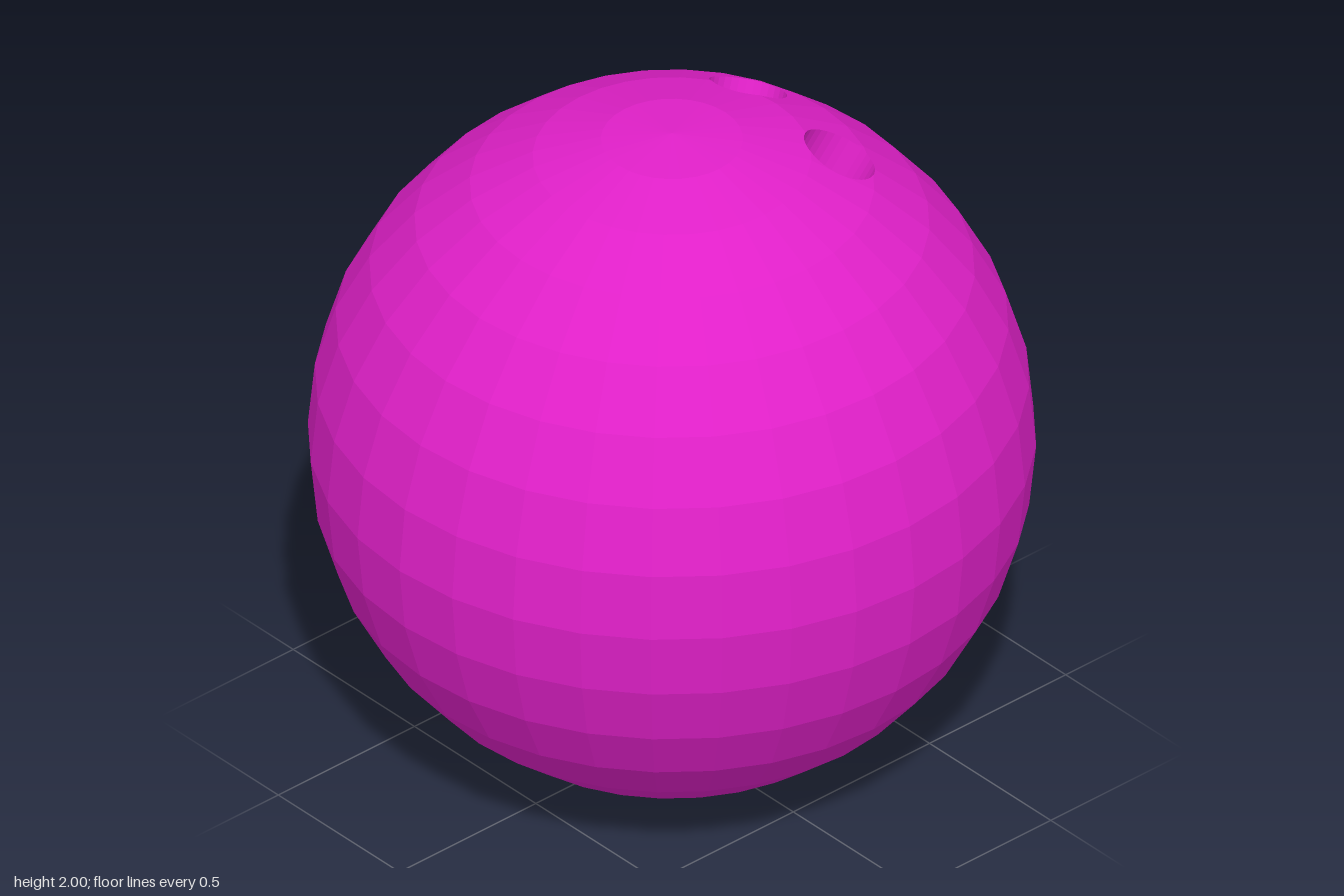
import * as THREE from 'three';

const SEGMENTS = 32, RINGS = 16, HOLE_SIDES = 32, EPS = 1e-6;

// Drilled holes: all point at the ball's centre and end in a flat floor
const HOLES = [
  { name: 'thumbHole', dir: [0.955, 0.275, 0.105], radius: 0.175, floor: 0.51 },
  { name: 'fingerHoleBack', dir: [0.42, 0.894, -0.155], radius: 0.11, floor: 0.5 },
  { name: 'fingerHoleFront', dir: [0.4, 0.883, 0.247], radius: 0.11, floor: 0.5 },
];

// Part of a convex polygon on the positive (sign 1) or negative (sign -1) side of a plane
function clip(poly, plane, sign) {
  const out = [];
  poly.forEach((a, i) => {
    const b = poly[(i + 1) % poly.length];
    const da = sign * plane.distanceToPoint(a), db = sign * plane.distanceToPoint(b);
    if (da >= -EPS) out.push(a);
    if ((da > EPS && db < -EPS) || (da < -EPS && db > EPS)) {
      out.push(a.clone().lerp(b, da / (da - db)));
    }
  });
  return out;
}

// Area test that drops slivers left by clipping
function hasArea(poly) {
  const sum = new THREE.Vector3();
  for (let i = 1; i + 1 < poly.length; i++) {
    const e = poly[i].clone().sub(poly[0]);
    sum.add(e.cross(poly[i + 1].clone().sub(poly[0])));
  }
  return sum.length() > 1e-8;
}

// Flat-faced mesh from a list of convex polygons
function polygonMesh(polys, material, name) {
  const points = [];
  for (const p of polys) {
    for (let i = 1; i + 1 < p.length; i++) points.push(p[0], p[i], p[i + 1]);
  }
  const geometry = new THREE.BufferGeometry().setFromPoints(points);
  geometry.translate(0, 1, 0);
  geometry.computeVertexNormals();
  const mesh = new THREE.Mesh(geometry, material);
  mesh.name = name;
  return mesh;
}

// Latitude/longitude facets of a unit sphere, wound counter-clockwise from outside
function sphereFacets() {
  const at = (ring, seg) => new THREE.Vector3().setFromSphericalCoords(
    1, (ring / RINGS) * Math.PI, (seg / SEGMENTS) * Math.PI * 2);
  const facets = [];
  for (let r = 0; r < RINGS; r++) {
    for (let s = 0; s < SEGMENTS; s++) {
      const quad = [at(r, s), at(r + 1, s), at(r + 1, s + 1), at(r, s + 1)];
      if (r === 0) quad.pop();
      if (r === RINGS - 1) quad.splice(1, 1);
      facets.push(quad);
    }
  }
  return facets;
}

// Cuts one hole out of the facets; returns the remaining skin and the hole's lining
function drill(facets, hole) {
  const dir = new THREE.Vector3(...hole.dir).normalize();
  const u = new THREE.Vector3(0, 0, 1).cross(dir).normalize();
  const v = dir.clone().cross(u);
  const around = (angle, r) => u.clone().multiplyScalar(Math.cos(angle) * r)
    .addScaledVector(v, Math.sin(angle) * r);
  const step = (Math.PI * 2) / HOLE_SIDES;
  const planes = [], floor = [];
  for (let i = 0; i < HOLE_SIDES; i++) {
    planes.push(new THREE.Plane(around((i + 0.5) * step, 1), -hole.radius * Math.cos(step / 2)));
    floor.push(around(i * step, hole.radius).addScaledVector(dir, hole.floor));
  }
  const sink = (p) => p.clone().addScaledVector(dir, hole.floor - p.dot(dir));

  const skin = [], lining = [floor];
  for (const facet of facets) {
    let inside = facet[0].dot(dir) > 0 ? facet : [];
    const pieces = [];
    for (const plane of planes) {
      if (inside.length < 3) break;
      const outer = clip(inside, plane, 1);
      if (outer.length > 2 && hasArea(outer)) pieces.push(outer);
      inside = clip(inside, plane, -1);
    }
    if (inside.length < 3 || !hasArea(inside)) {
      skin.push(facet);
      continue;
    }
    skin.push(...pieces);
    // Every rim edge drops a wall panel down to the floor
    inside.forEach((a, i) => {
      const b = inside[(i + 1) % inside.length];
      if (a.distanceTo(b) < 1e-5) return;
      const onRim = planes.some((p) => Math.abs(p.distanceToPoint(a)) < 1e-5
        && Math.abs(p.distanceToPoint(b)) < 1e-5);
      if (onRim) lining.push([a, b, sink(b), sink(a)]);
    });
  }
  return { skin, lining };
}

export function createModel() {
  const group = new THREE.Group();
  group.name = 'bowlingBall';
  const material = new THREE.MeshStandardMaterial({ color: 0xe020c8, flatShading: true });

  let facets = sphereFacets();
  for (const hole of HOLES) {
    const { skin, lining } = drill(facets, hole);
    facets = skin;
    group.add(polygonMesh(lining, material, hole.name));
  }
  group.add(polygonMesh(facets, material, 'ballShell'));
  return group;
}
